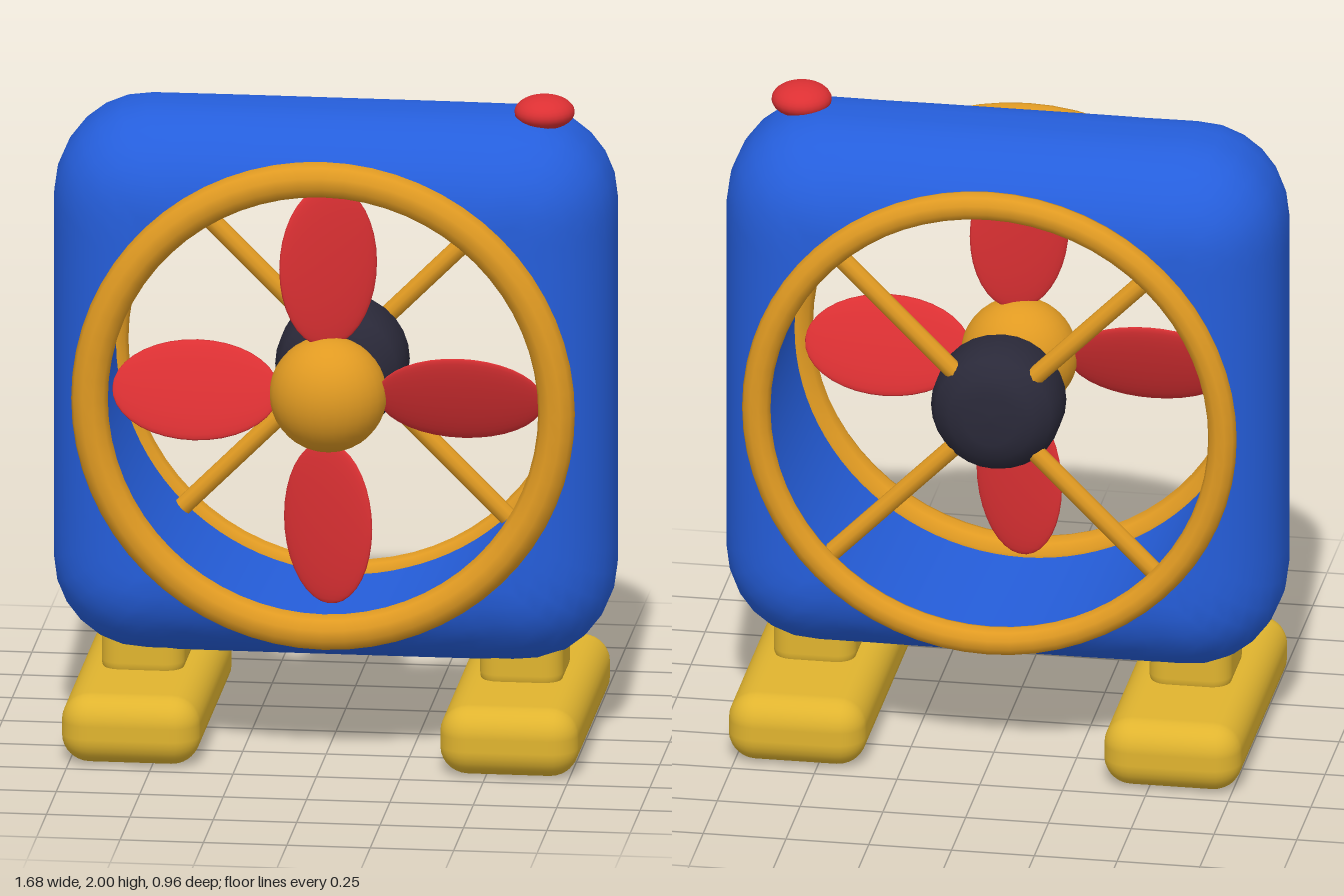
import * as THREE from 'three';
import { RoundedBoxGeometry } from 'three/addons/geometries/RoundedBoxGeometry.js';

const CY = 1.1;                        // height of the fan axis
const CORE = 0.56, DEPTH = 0.035, BEVEL = 0.28; // rounded housing = core box + bevel radius
const CLIP = 0.7, HOLE = 0.692;

const mat = (name, color) => {
  const m = new THREE.MeshStandardMaterial({ color });
  m.name = name;
  return m;
};

// Closed skin of rings: point(angle, row) gives each vertex
function loft(sides, rows, point) {
  const pos = [], idx = [];
  for (let j = 0; j < rows; j++)
    for (let i = 0; i < sides; i++) pos.push(...point((i / sides) * Math.PI * 2, j));
  for (let j = 0; j < rows - 1; j++)
    for (let i = 0; i < sides; i++) {
      const n = (i + 1) % sides;
      const a = j * sides + i, b = j * sides + n, c = b + sides, d = a + sides;
      idx.push(a, b, c, a, c, d);
    }
  const g = new THREE.BufferGeometry();
  g.setAttribute('position', new THREE.Float32BufferAttribute(pos, 3));
  g.setIndex(idx);
  g.computeVertexNormals();
  return g;
}

// Distance from the axis to a rounded square with corner radius r
function squareRadius(angle, r) {
  const u = Math.abs(Math.cos(angle)), v = Math.abs(Math.sin(angle));
  const big = Math.max(u, v), small = Math.min(u, v);
  const t = (CORE + r) / big;
  if (t * small <= CORE) return t;
  const b = CORE * (u + v);
  return b + Math.sqrt(Math.max(0, b * b - 2 * CORE * CORE + r * r));
}

// Largest bevel angle before the housing meets the round opening
function bevelLimit(angle) {
  const big = Math.max(Math.abs(Math.cos(angle)), Math.abs(Math.sin(angle)));
  return Math.acos(Math.max(0, CLIP * big - CORE) / BEVEL);
}

export function createModel() {
  const model = new THREE.Group();
  model.name = 'deskFan';
  const blue = mat('housing blue', 0x255edb);
  const orange = mat('trim orange', 0xe09a22);
  const yellow = mat('foot yellow', 0xe0b42f);
  const red = mat('blade red', 0xdc3033);
  const dark = mat('motor charcoal', 0x2a2939);

  const add = (name, geometry, material, x = 0, y = 0, z = 0, parent = model) => {
    const m = new THREE.Mesh(geometry, material);
    m.name = name;
    m.position.set(x, y, z);
    parent.add(m);
    return m;
  };

  // Housing: rounded outer skin from the back opening round to the front opening
  const STEPS = 8;
  const skin = loft(96, 2 * STEPS + 4, (a, j) => {
    const front = j >= STEPS + 2;
    const k = front ? j - STEPS - 2 : STEPS + 1 - j;
    const phi = bevelLimit(a) * Math.min(k / STEPS, 1);
    const r = k > STEPS ? HOLE : squareRadius(a, BEVEL * Math.cos(phi));
    const z = DEPTH + BEVEL * Math.sin(phi);
    return [r * Math.cos(a), r * Math.sin(a), front ? z : -z];
  });
  add('housing', skin, blue, 0, CY);

  // Round tunnel through the housing
  const tunnel = loft(96, 2, (a, j) => {
    const z = DEPTH + BEVEL * Math.sin(bevelLimit(a));
    return [HOLE * Math.cos(a), HOLE * Math.sin(a), j ? -z : z];
  });
  add('tunnel', tunnel, blue, 0, CY);

  // Trim rings
  add('frontRing', new THREE.TorusGeometry(0.7, 0.055, 10, 64), orange, 0, CY, 0.33);
  add('rearRing', new THREE.TorusGeometry(0.704, 0.043, 10, 64), orange, 0, CY, -0.33);

  // Motor: rounded drum with a shaft to the nose
  const profile = [[0, -0.15], [0.08, -0.148], [0.13, -0.135], [0.175, -0.1], [0.196, -0.05],
    [0.196, 0.05], [0.175, 0.1], [0.13, 0.135], [0.08, 0.148], [0, 0.15]];
  const motor = add('motor', new THREE.LatheGeometry(
    profile.map(([r, y]) => new THREE.Vector2(r, y)), 28), dark, 0, CY, -0.165);
  motor.rotation.x = Math.PI / 2;
  add('shaft', new THREE.CylinderGeometry(0.04, 0.04, 0.25, 16), dark, 0, CY, 0.06)
    .rotation.x = Math.PI / 2;

  // Diagonal struts and pitched blades, four of each
  const strut = new THREE.CylinderGeometry(0.028, 0.028, 0.58, 10);
  const blade = new THREE.SphereGeometry(1, 28, 18).scale(0.152, 0.25, 0.02);
  for (let i = 0; i < 4; i++) {
    const arm = new THREE.Group();
    arm.name = 'strutArm';
    arm.position.set(0, CY, -0.24);
    arm.rotation.z = Math.PI / 4 + (i * Math.PI) / 2;
    add('strut', strut, orange, 0, 0.4, 0, arm);
    const spoke = new THREE.Group();
    spoke.name = 'bladeArm';
    spoke.position.set(0, CY, 0.2);
    spoke.rotation.z = (i * Math.PI) / 2;
    add('blade', blade, red, 0, 0.397, 0, spoke).rotation.y = 0.41;
    model.add(arm, spoke);
  }

  // Nose cap
  add('nose', new THREE.SphereGeometry(0.175, 28, 20).scale(1, 1, 0.9), orange, 0, CY, 0.2);

  // Power button on top
  add('button', new THREE.SphereGeometry(1, 24, 16).scale(0.09, 0.05, 0.09), red, 0.63, 1.95, 0.04);

  // Legs and feet, mirrored
  for (const s of [-1, 1]) {
    add('leg', new RoundedBoxGeometry(0.25, 0.2, 0.29, 4, 0.06), yellow, s * 0.567, 0.27, 0);
    add('foot', new RoundedBoxGeometry(0.415, 0.21, 0.965, 4, 0.085), yellow, s * 0.567, 0.105, 0);
  }
  return model;
}
